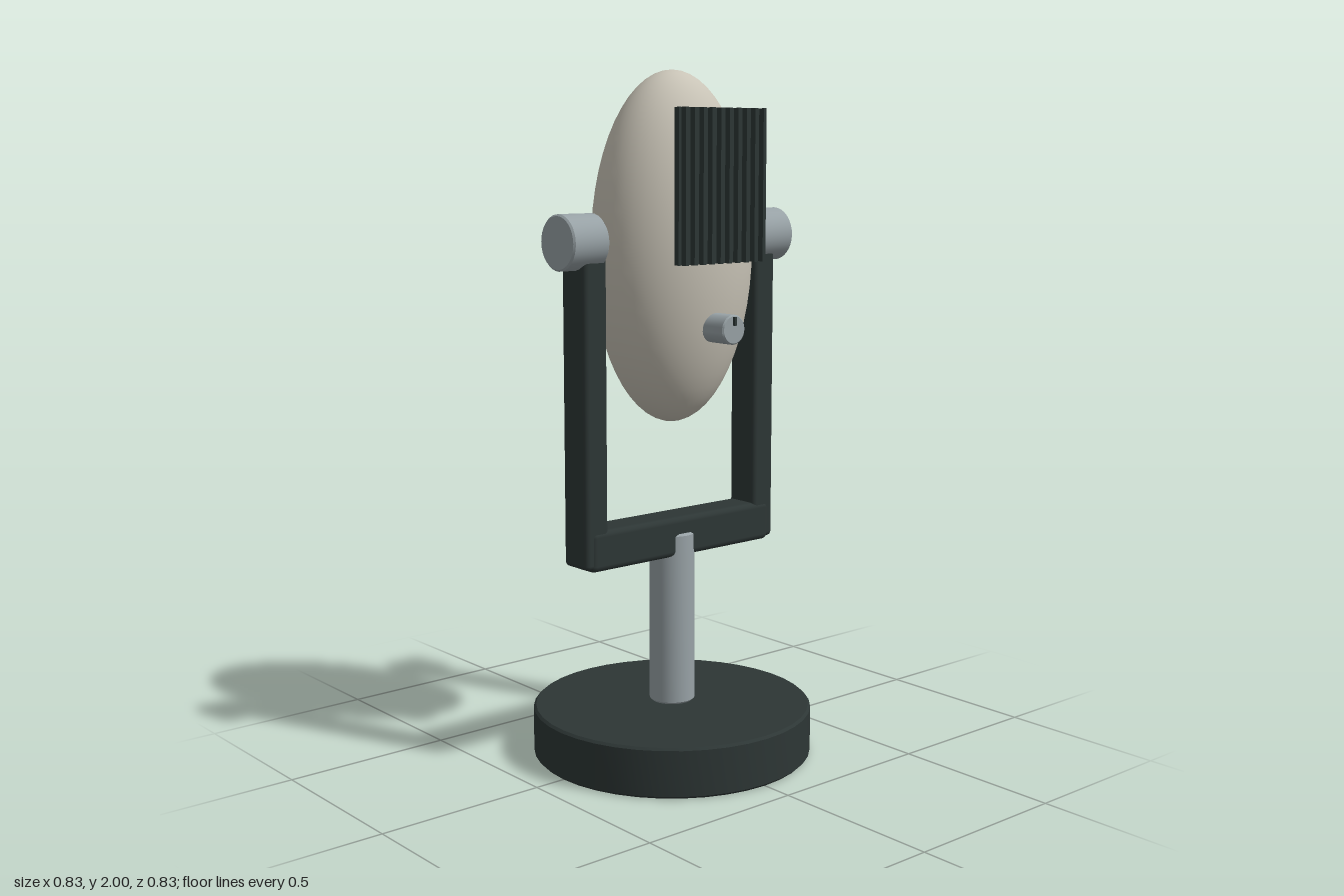
import * as THREE from 'three';
import { toCreasedNormals } from 'three/addons/utils/BufferGeometryUtils.js';
import { RoundedBoxGeometry } from 'three/addons/geometries/RoundedBoxGeometry.js';

const dark = new THREE.MeshStandardMaterial({ name: 'dark enamel', color: 0x2d3635 });
const shell = new THREE.MeshStandardMaterial({ name: 'warm grey shell', color: 0xc8c3b6 });
const metal = new THREE.MeshStandardMaterial({ name: 'brushed metal', color: 0x98a2a6 });

// Upright cylinder with small chamfered rims, centred on its origin
function chamferedCylinder(radius, height, chamfer, segments = 40) {
  const h = height / 2;
  const profile = [
    [0, -h], [radius - chamfer, -h], [radius, -h + chamfer],
    [radius, h - chamfer], [radius - chamfer, h], [0, h],
  ].map(([x, y]) => new THREE.Vector2(x, y));
  return toCreasedNormals(new THREE.LatheGeometry(profile, segments), 0.5);
}

export function createModel() {
  const model = new THREE.Group();
  model.name = 'microphone';

  const add = (name, geometry, material, x, y, z, parent = model) => {
    const mesh = new THREE.Mesh(geometry, material);
    mesh.name = name;
    mesh.position.set(x, y, z);
    parent.add(mesh);
    return mesh;
  };

  // Stand: round base and stem
  add('base', chamferedCylinder(0.413, 0.147, 0.007), dark, 0, 0.0735, 0);
  add('stem', chamferedCylinder(0.067, 0.515, 0.006, 32), metal, 0, 0.4125, 0);

  // U-shaped yoke with a pivot knob on each side
  const yoke = new THREE.Group();
  yoke.name = 'yoke';
  model.add(yoke);
  add('crossbar', new RoundedBoxGeometry(0.68, 0.118, 0.114, 2, 0.018), dark, 0, 0.661, 0, yoke);
  for (const side of [-1, 1]) {
    const label = side > 0 ? 'left' : 'right';
    add(label + 'Arm', new RoundedBoxGeometry(0.08, 0.975, 0.108, 2, 0.014), dark,
      side * 0.317, 1.0975, 0, yoke);
    const knob = add(label + 'PivotKnob', chamferedCylinder(0.078, 0.123, 0.005, 32), metal,
      side * 0.347, 1.527, 0, yoke);
    knob.rotation.z = Math.PI / 2;
  }

  // Egg-shaped body
  const body = new THREE.SphereGeometry(1, 40, 28);
  body.scale(0.248, 0.502, 0.206);
  add('body', body, shell, 0, 1.498, 0);

  // Front grille: flat plate with vertical ribs
  const grille = new THREE.Group();
  grille.name = 'grille';
  model.add(grille);
  add('grillePlate', new THREE.BoxGeometry(0.316, 0.425, 0.017), dark, 0, 1.678, 0.206, grille);
  const ribShape = new THREE.BoxGeometry(0.011, 0.425, 0.02);
  for (let i = 0; i < 10; i++) {
    add('grilleRib', ribShape, dark, (i - 4.5) * 0.0317, 1.678, 0.223, grille);
  }

  // Control knob with its pointer mark
  const dial = add('controlKnob', chamferedCylinder(0.042, 0.095, 0.004, 28), metal, 0, 1.284, 0.219);
  dial.rotation.x = Math.PI / 2;
  add('knobPointer', new THREE.BoxGeometry(0.008, 0.024, 0.008), dark, 0, 1.308, 0.269);

  return model;
}
